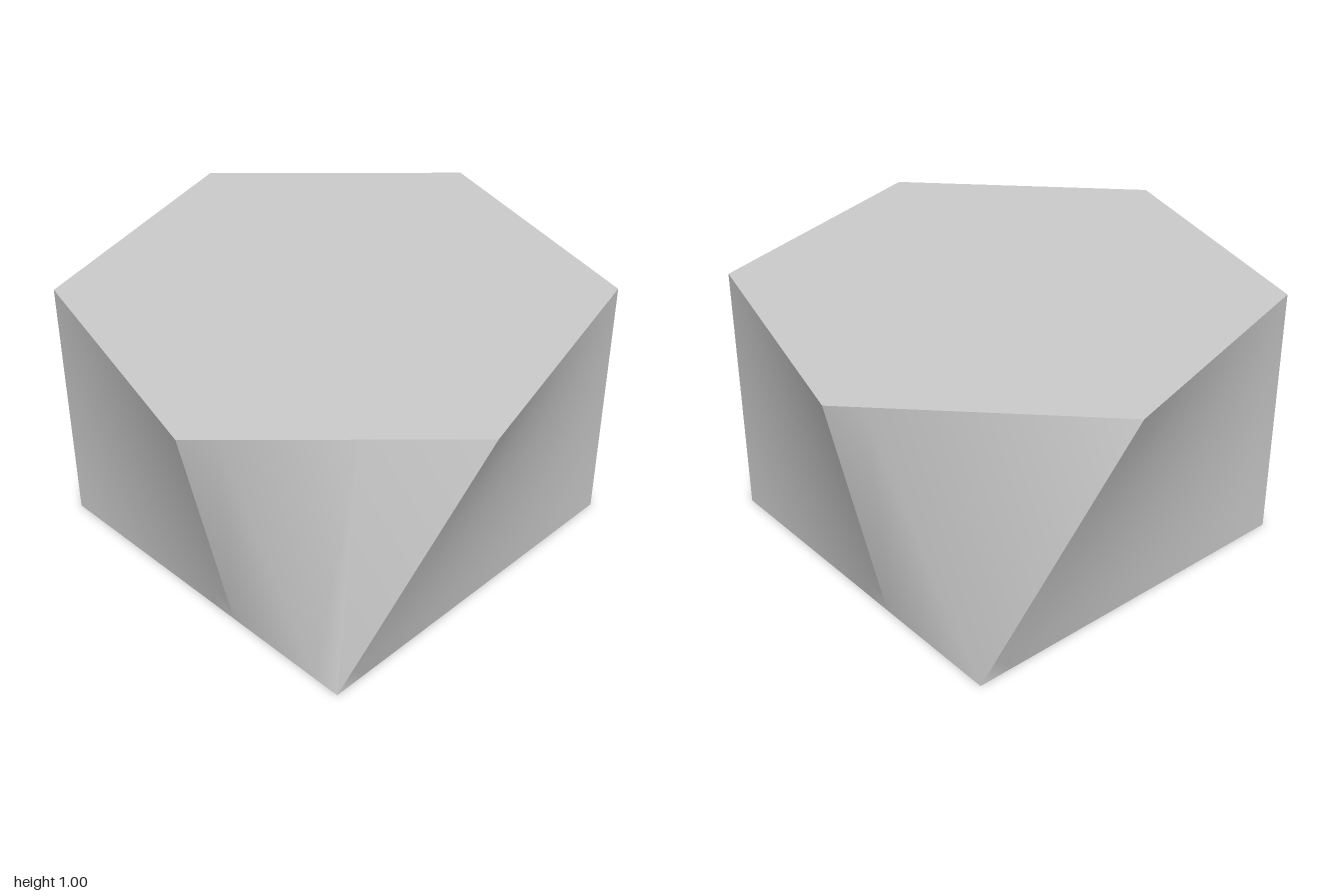
import * as THREE from 'three';
import { toCreasedNormals } from 'three/addons/utils/BufferGeometryUtils.js';

const V = (x, y, z) => new THREE.Vector3(x, y, z);

export function createModel() {
  const group = new THREE.Group();
  const material = new THREE.MeshStandardMaterial({ color: 0xcccccc });
  const center = V(0, 0.5, 0);
  const positions = [];
  const h = Math.sqrt(3) / 2;

  // Adds a triangle, turned to face outwards
  function tri(a, b, c) {
    const n = b.clone().sub(a).cross(c.clone().sub(a));
    const out = a.clone().add(b).add(c).divideScalar(3).sub(center);
    const pts = n.dot(out) < 0 ? [a, c, b] : [a, b, c];
    pts.forEach((p) => positions.push(p.x, p.y, p.z));
  }

  // Ruled wall panel between a top edge and a bottom edge
  function panel(t0, t1, b0, b1, n = 10) {
    const at = (i, j) => t0.clone().lerp(t1, i / n).lerp(b0.clone().lerp(b1, i / n), j / n);
    for (let i = 0; i < n; i++) {
      for (let j = 0; j < n; j++) {
        tri(at(i, j), at(i + 1, j), at(i, j + 1));
        tri(at(i + 1, j), at(i + 1, j + 1), at(i, j + 1));
      }
    }
  }

  // Walls: each half is the other turned by 180 degrees
  for (const s of [1, -1]) {
    const P = (x, y, z) => V(s * x, y, s * z);
    const t0 = P(0.5, 1, h), t1 = P(-0.5, 1, h), t7 = P(-0.37, 1, h);
    const b0 = P(0, 0, 1), b1 = P(-0.37, 0, 0.63);
    panel(P(1, 1, 0), t0, P(1, 0, 0), b0);
    panel(t1, P(-1, 1, 0), b1, P(-1, 0, 0));

    // Broad twisted panel, folded from hexagon edge to square corner
    if (s > 0) {
      const tm = P(0.07, 1, h), bn = P(-0.08, 0, 0.92);
      tri(b0, t0, tm);
      tri(b0, tm, bn);
      tri(bn, tm, t7);
      tri(bn, t7, b1);
    } else {
      tri(b0, t0, t7);
      tri(b0, t7, b1);
    }
    tri(t7, t1, b1);
  }

  // Caps: hexagon on top, square turned on its corner below
  function cap(sides, y) {
    const corner = (i) => {
      const a = (i / sides) * Math.PI * 2;
      return V(Math.cos(a), y, Math.sin(a));
    };
    for (let i = 0; i < sides; i++) tri(V(0, y, 0), corner(i), corner(i + 1));
  }
  cap(6, 1);
  cap(4, 0);

  const geometry = new THREE.BufferGeometry();
  geometry.setAttribute('position', new THREE.Float32BufferAttribute(positions, 3));
  const mesh = new THREE.Mesh(toCreasedNormals(geometry, 0.9), material);
  mesh.name = 'hexagonToSquareLoft';
  group.add(mesh);
  return group;
}
